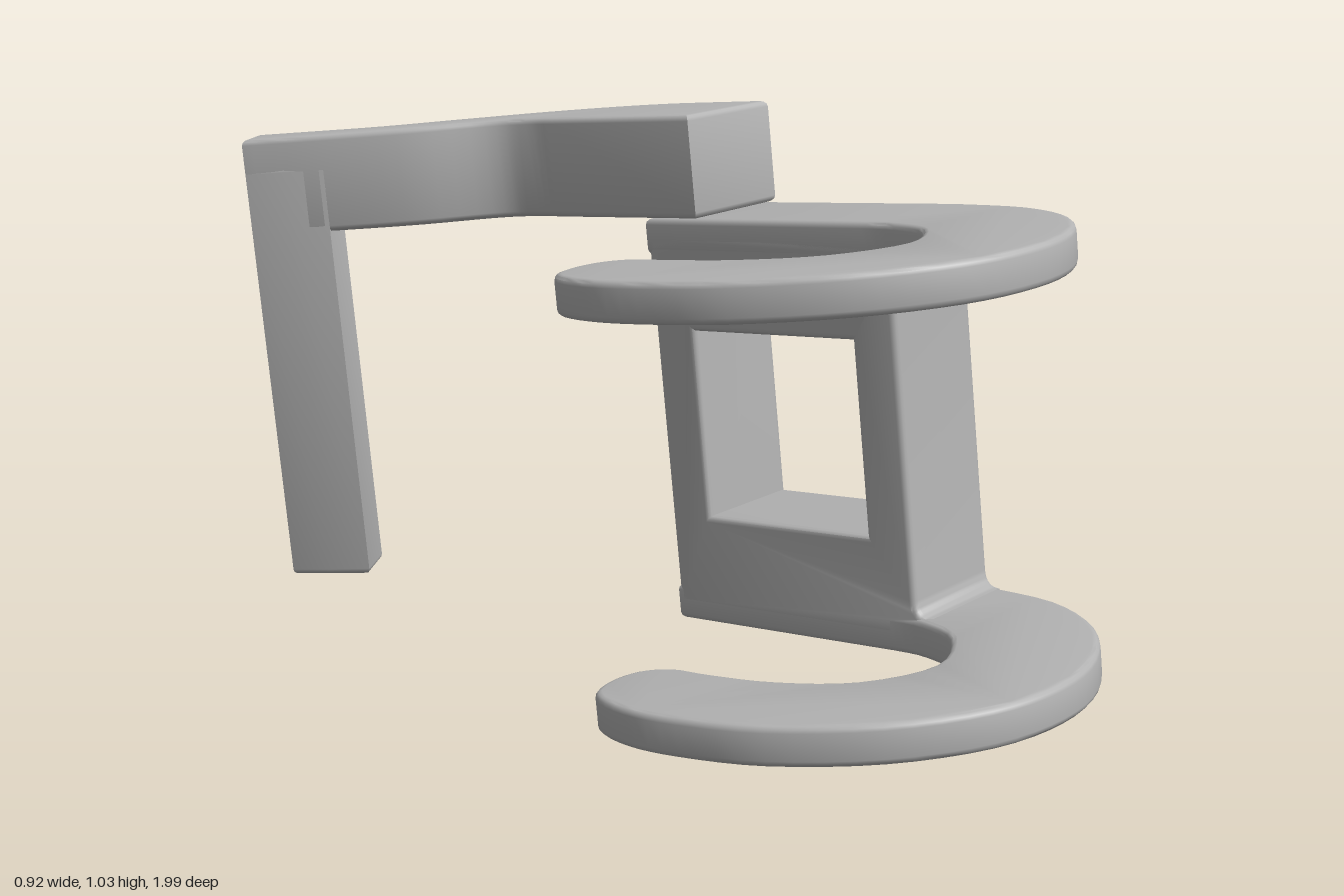
import * as THREE from 'three';
import { toCreasedNormals } from 'three/addons/utils/BufferGeometryUtils.js';

const BEVEL = 0.012;

// Extrude a shape between two heights, keeping its outline size with soft edges
function extrude(shape, from, to) {
  const geo = new THREE.ExtrudeGeometry(shape, {
    depth: to - from - 2 * BEVEL, bevelEnabled: true, bevelSize: BEVEL,
    bevelThickness: BEVEL, bevelOffset: -BEVEL, bevelSegments: 3, curveSegments: 8,
  });
  return geo.translate(0, 0, from + BEVEL);
}

// Plan points are (x, z); the outline is mapped so the extrusion runs up y
const plan = (pts) => pts.map(([x, z]) => new THREE.Vector2(x, -z));
const smooth = (pts, n) => new THREE.SplineCurve(plan(pts)).getPoints(n);

export function createModel() {
  const grey = new THREE.MeshStandardMaterial({ color: 0xb4b4b4 });
  grey.name = 'light grey';
  const model = new THREE.Group();
  model.name = 'hookBracket';

  const add = (name, geo) => {
    const mesh = new THREE.Mesh(toCreasedNormals(geo, 0.6), grey);
    mesh.name = name;
    model.add(mesh);
  };
  const addPlan = (name, points, from, to) =>
    add(name, extrude(new THREE.Shape(points), from, to).rotateX(-Math.PI / 2));

  // Two J-shaped hook plates
  const hook = [
    ...plan([[0.455, -0.02], [0.215, -0.02]]),
    ...smooth([
      [0.215, 0.5], [0.205, 0.58], [0.15, 0.68], [0.01, 0.745], [-0.12, 0.68], [-0.185, 0.55],
      [-0.205, 0.42], [-0.21, 0.335], [-0.25, 0.285], [-0.32, 0.275], [-0.385, 0.305],
      [-0.42, 0.4], [-0.42, 0.52], [-0.385, 0.68], [-0.285, 0.85], [-0.14, 0.965],
      [0.015, 1.0], [0.17, 0.97], [0.32, 0.875], [0.42, 0.73], [0.455, 0.55],
    ], 80),
  ];
  addPlan('lowerHook', hook, 0, 0.072);
  addPlan('upperHook', hook, 0.738, 0.81);

  // Upright wall with a square window and small fillets under the hooks
  const wall = new THREE.Shape();
  wall.moveTo(0.02, 0.03);
  wall.lineTo(0.02, 0.78);
  wall.lineTo(-0.59, 0.78);
  wall.lineTo(-0.59, 0.738);
  wall.quadraticCurveTo(-0.56, 0.738, -0.56, 0.705);
  wall.lineTo(-0.56, 0.105);
  wall.quadraticCurveTo(-0.56, 0.072, -0.59, 0.072);
  wall.lineTo(-0.59, 0.03);
  wall.closePath();
  const opening = [[-0.08, 0.22], [-0.46, 0.22], [-0.46, 0.59], [-0.08, 0.59]];
  wall.holes.push(new THREE.Path(opening.map(([x, y]) => new THREE.Vector2(x, y))));
  add('windowWall', extrude(wall, 0.215, 0.455).rotateY(Math.PI / 2));

  // Curved arm sweeping to the back
  addPlan('backArm', [
    ...smooth([
      [0.215, -0.25], [0.215, -0.32], [0.19, -0.4], [0.08, -0.53],
      [-0.015, -0.69], [-0.09, -0.85],
    ], 24),
    ...smooth([
      [0.01, -0.92], [0.07, -0.79], [0.135, -0.66], [0.24, -0.53],
      [0.35, -0.385], [0.425, -0.24], [0.455, -0.13], [0.46, -0.05],
    ], 28),
    ...plan([[0.46, 0.11], [0.215, 0.11]]),
  ], 0.81, 1.01);

  // Leg hanging from the end of the arm
  addPlan('backLeg', plan([
    [-0.015, -0.69], [-0.055, -0.77], [-0.09, -0.85], [0.01, -0.92], [0.05, -0.84], [0.085, -0.76],
  ]), 0.075, 0.95);

  // The whole piece leans slightly
  model.rotation.set(-0.08, 0, 0.05);
  model.position.y = 0.003;
  const root = new THREE.Group();
  root.name = 'bracket';
  root.add(model);
  return root;
}
